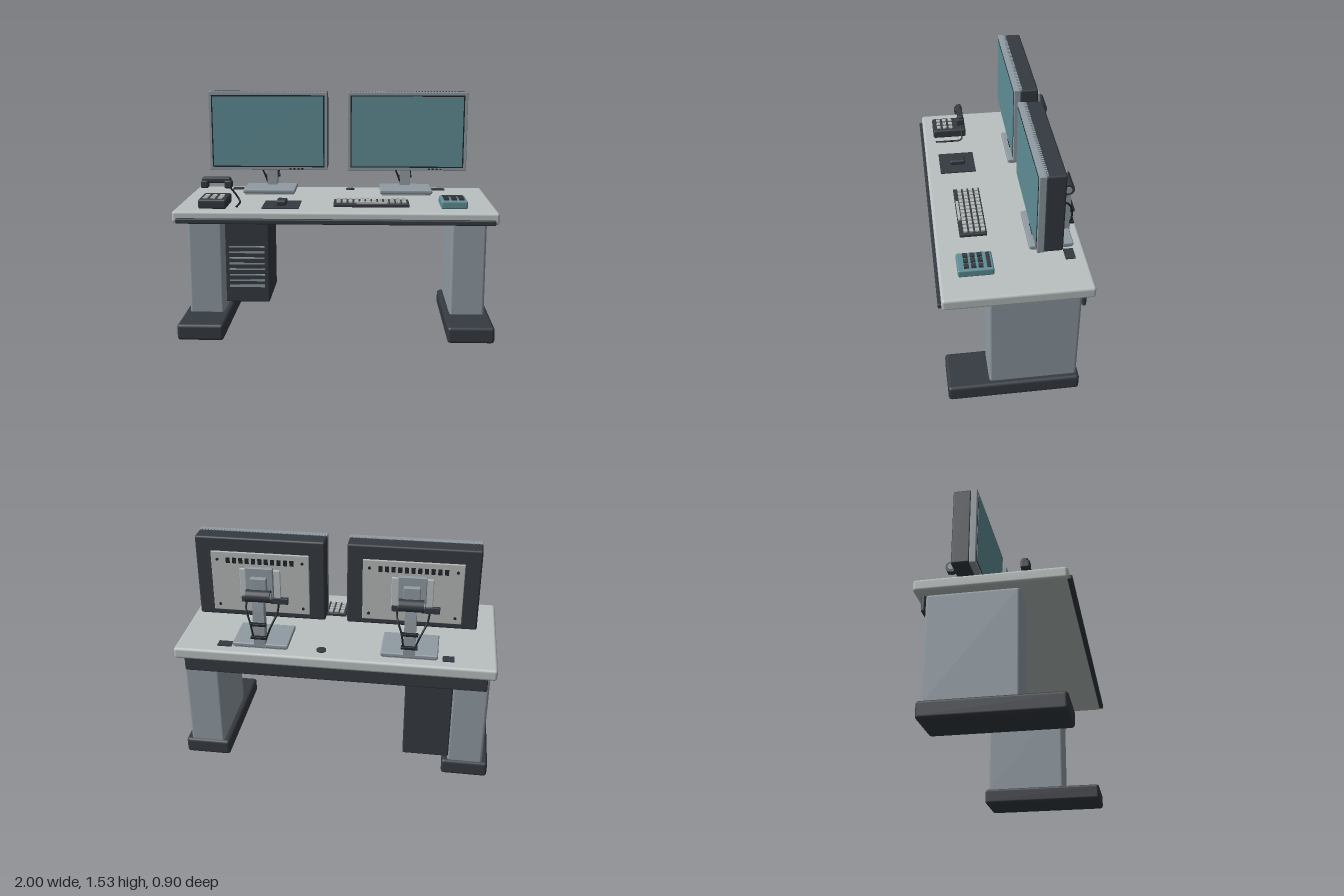
import * as THREE from 'three';
import { RoundedBoxGeometry } from 'three/addons/geometries/RoundedBoxGeometry.js';

const mat = (name, color) => {
  const m = new THREE.MeshStandardMaterial({ color });
  m.name = name;
  return m;
};

export function createModel() {
  const top = mat('pale grey', 0xb9c1c0);
  const grey = mat('steel grey', 0x909ba3);
  const dark = mat('charcoal', 0x353a41);
  const black = mat('black', 0x202429);
  const teal = mat('teal', 0x608e97);
  const keyMat = mat('key grey', 0xb4b8b6);

  const desk = new THREE.Group();
  desk.name = 'officeDesk';

  const add = (parent, name, geo, m, x = 0, y = 0, z = 0) => {
    const mesh = new THREE.Mesh(geo, m);
    mesh.name = name;
    mesh.position.set(x, y, z);
    parent.add(mesh);
    return mesh;
  };
  // box given by its limits on each axis; r > 0 rounds the edges
  const box = (parent, name, m, [x0, x1], [y0, y1], [z0, z1], r = 0) => {
    const s = [x1 - x0, y1 - y0, z1 - z0];
    const geo = r ? new RoundedBoxGeometry(...s, 2, r) : new THREE.BoxGeometry(...s);
    return add(parent, name, geo, m, (x0 + x1) / 2, (y0 + y1) / 2, (z0 + z1) / 2);
  };
  const tube = (parent, name, m, pts, r) => {
    const curve = new THREE.CatmullRomCurve3(pts.map(p => new THREE.Vector3(...p)));
    return add(parent, name, new THREE.TubeGeometry(curve, 20, r, 6), m);
  };
  const group = (name, x = 0, y = 0, z = 0) => {
    const g = new THREE.Group();
    g.name = name;
    g.position.set(x, y, z);
    desk.add(g);
    return g;
  };

  // Desktop, front strip, rear apron and cable tray
  box(desk, 'desktop', top, [-1, 1], [0.765, 0.84], [-0.45, 0.43], 0.018);
  box(desk, 'frontStrip', dark, [-0.975, 0.975], [0.765, 0.797], [0.42, 0.45], 0.008);
  box(desk, 'rearApron', dark, [-0.95, 0.95], [0.66, 0.765], [-0.41, -0.385], 0.01);
  box(desk, 'trayTop', dark, [-0.74, 0.74], [0.755, 0.768], [-0.39, -0.19]);
  for (let i = 0; i < 12; i++) {
    const x = -0.705 + i * 0.1285;
    box(desk, 'traySlot', grey, [x - 0.034, x + 0.034], [0.69, 0.745], [-0.386, -0.381]);
  }

  // Pedestal legs and feet
  for (const s of [-1, 1]) {
    const span = (a, b) => [Math.min(s * a, s * b), Math.max(s * a, s * b)];
    box(desk, 'leg', grey, span(0.74, 0.965), [0.09, 0.755], [-0.38, 0.16], 0.018);
    box(desk, 'legCap', grey, span(0.78, 0.925), [0.75, 0.768], [-0.34, 0.12]);
    box(desk, 'foot', dark, span(0.705, 1.0), [0, 0.105], [-0.395, 0.415], 0.02);
  }

  // Computer tower with front vents
  box(desk, 'tower', dark, [-0.745, -0.45], [0.14, 0.685], [-0.395, 0.05], 0.01);
  for (let i = 0; i < 8; i++) {
    const y = 0.253 + i * 0.0385, h = i ? 0.005 : 0.008;
    box(desk, 'towerVent', grey, [-0.715, -0.48], [y - h, y + h], [0.048, 0.056]);
  }

  // Monitors on hinged stands
  for (const cx of [-0.464, 0.459]) {
    const g = group('monitor', cx);
    const w = 0.395;
    box(g, 'frontBezel', grey, [-w, w], [1.01, 1.53], [-0.165, -0.125], 0.004);
    box(g, 'rearHousing', dark, [-w, w], [1.012, 1.528], [-0.275, -0.16], 0.012);
    box(g, 'screenBorder', black, [-0.375, 0.375], [1.03, 1.508], [-0.126, -0.123]);
    box(g, 'screen', teal, [-0.367, 0.367], [1.038, 1.5], [-0.124, -0.121]);
    for (let i = 0; i < 4; i++) {
      const x = 0.148 + i * 0.026;
      box(g, 'button', black, [x - 0.007, x + 0.007], [1.016, 1.024], [-0.126, -0.121]);
    }
    for (let i = 0; i < 40; i++) {
      const x = -0.38 + i * 0.0195;
      box(g, 'topRib', grey, [x - 0.005, x + 0.005], [1.525, 1.533], [-0.175, -0.155]);
    }
    // rear panel, vents and screws
    box(g, 'rearPanel', keyMat, [-0.3, 0.3], [1.05, 1.44], [-0.287, -0.27], 0.004);
    for (let i = 0; i < 11; i++) {
      const x = (i - 5) * 0.039;
      box(g, 'rearVent', black, [x - 0.012, x + 0.012], [1.37, 1.405], [-0.291, -0.285]);
    }
    for (const x of [-0.26, 0.26]) for (const y of [1.09, 1.39]) {
      add(g, 'screw', new THREE.CylinderGeometry(0.009, 0.009, 0.008, 10), black, x, y, -0.288)
        .rotation.x = Math.PI / 2;
    }
    // mounting plates and hinge
    box(g, 'mountPlate', top, [-0.125, 0.125], [1.15, 1.34], [-0.3, -0.285], 0.004);
    box(g, 'mountBlock', grey, [-0.085, 0.085], [1.17, 1.36], [-0.325, -0.298], 0.005);
    box(g, 'mountArm', grey, [-0.05, 0.05], [1.18, 1.305], [-0.355, -0.32], 0.005);
    const hinge = add(g, 'hinge', new THREE.CylinderGeometry(0.038, 0.038, 0.15, 20), dark, 0, 1.195, -0.36);
    hinge.rotation.z = Math.PI / 2;
    const cap = add(g, 'hingeCap', new THREE.CylinderGeometry(0.022, 0.022, 0.158, 16), grey, 0, 1.195, -0.36);
    cap.rotation.z = Math.PI / 2;
    box(g, 'portBlock', dark, [-0.17, -0.06], [1.12, 1.16], [-0.31, -0.28], 0.004);
    box(g, 'portBlock', dark, [0.07, 0.12], [1.12, 1.16], [-0.305, -0.28], 0.004);
    // curved neck, extruded across x
    const s = new THREE.Shape();
    s.moveTo(0.39, 0.87);
    s.lineTo(0.325, 0.87);
    s.quadraticCurveTo(0.335, 1.06, 0.325, 1.17);
    s.lineTo(0.38, 1.17);
    s.quadraticCurveTo(0.4, 1.03, 0.39, 0.87);
    const neckGeo = new THREE.ExtrudeGeometry(s, { depth: 0.07, bevelEnabled: false, curveSegments: 8 });
    neckGeo.rotateY(Math.PI / 2).translate(-0.035, 0, 0);
    add(g, 'neck', neckGeo, grey);
    // stand base
    box(g, 'baseLower', grey, [-0.165, 0.165], [0.838, 0.852], [-0.375, -0.135]);
    box(g, 'basePlate', grey, [-0.175, 0.175], [0.85, 0.877], [-0.388, -0.12], 0.008);
    // cables and their clips
    for (const y of [0.93, 1.02]) {
      box(g, 'cableClip', black, [-0.05, 0.05], [y - 0.009, y + 0.009], [-0.412, -0.385], 0.003);
    }
    tube(g, 'cable', black, [[-0.11, 1.13, -0.29], [-0.1, 1.06, -0.3], [-0.06, 0.97, -0.33], [-0.03, 0.89, -0.335]], 0.006);
    tube(g, 'cable', black, [[0.09, 1.13, -0.295], [0.08, 1.1, -0.36], [0.05, 1.02, -0.395], [0.035, 0.92, -0.395]], 0.006);
  }

  // Cable grommets
  box(desk, 'grommet', dark, [-0.74, -0.668], [0.838, 0.846], [-0.382, -0.322]);
  box(desk, 'grommet', dark, [0.645, 0.735], [0.838, 0.846], [-0.382, -0.322]);
  add(desk, 'roundGrommet', new THREE.CylinderGeometry(0.031, 0.031, 0.01, 20), dark, 0.08, 0.842, -0.35);

  // Telephone
  const phone = group('telephone');
  box(phone, 'phoneBase', dark, [-0.85, -0.675], [0.84, 0.9], [0.13, 0.36], 0.012);
  for (let r = 0; r < 3; r++) for (let c = 0; c < 3; c++) {
    const x = -0.81 + c * 0.047, z = 0.235 + r * 0.042;
    box(phone, 'phoneKey', keyMat, [x - 0.014, x + 0.014], [0.897, 0.908], [z - 0.013, z + 0.013]);
  }
  box(phone, 'handsetGrip', dark, [-0.855, -0.67], [0.972, 1.01], [0.145, 0.185], 0.012);
  for (const x of [-0.838, -0.687]) {
    box(phone, 'handsetEnd', dark, [x - 0.024, x + 0.024], [0.94, 0.99], [0.14, 0.196], 0.01);
  }
  tube(phone, 'handsetCord', black, [[-0.68, 0.945, 0.165], [-0.645, 0.9, 0.163], [-0.617, 0.856, 0.17],
    [-0.615, 0.848, 0.25], [-0.617, 0.848, 0.35]], 0.006);

  // Mouse on its pad
  box(desk, 'mousePad', dark, [-0.458, -0.228], [0.838, 0.847], [0.105, 0.342]);
  box(desk, 'mouse', dark, [-0.375, -0.31], [0.845, 0.88], [0.17, 0.272], 0.012);

  // Keyboard
  const kb = group('keyboard');
  box(kb, 'keyboardBody', dark, [-0.015, 0.46], [0.84, 0.862], [0.11, 0.278], 0.005);
  for (let r = 0; r < 4; r++) for (let c = 0; c < 12; c++) {
    const x = 0.016 + c * 0.0375, z = 0.132 + r * 0.036;
    box(kb, 'key', keyMat, [x - 0.013, x + 0.013], [0.86, 0.873], [z - 0.012, z + 0.012]);
  }
  box(kb, 'spaceBar', keyMat, [0.13, 0.32], [0.86, 0.873], [0.258, 0.274]);

  // Calculator
  const calc = group('calculator');
  box(calc, 'calculatorBody', teal, [0.655, 0.818], [0.84, 0.89], [0.11, 0.32], 0.01);
  box(calc, 'display', dark, [0.672, 0.8], [0.886, 0.895], [0.125, 0.148]);
  for (let r = 0; r < 3; r++) for (let c = 0; c < 3; c++) {
    const x = 0.69 + c * 0.047, z = 0.184 + r * 0.042;
    box(calc, 'calculatorKey', dark, [x - 0.015, x + 0.015], [0.887, 0.902], [z - 0.014, z + 0.014]);
  }
  return desk;
}
